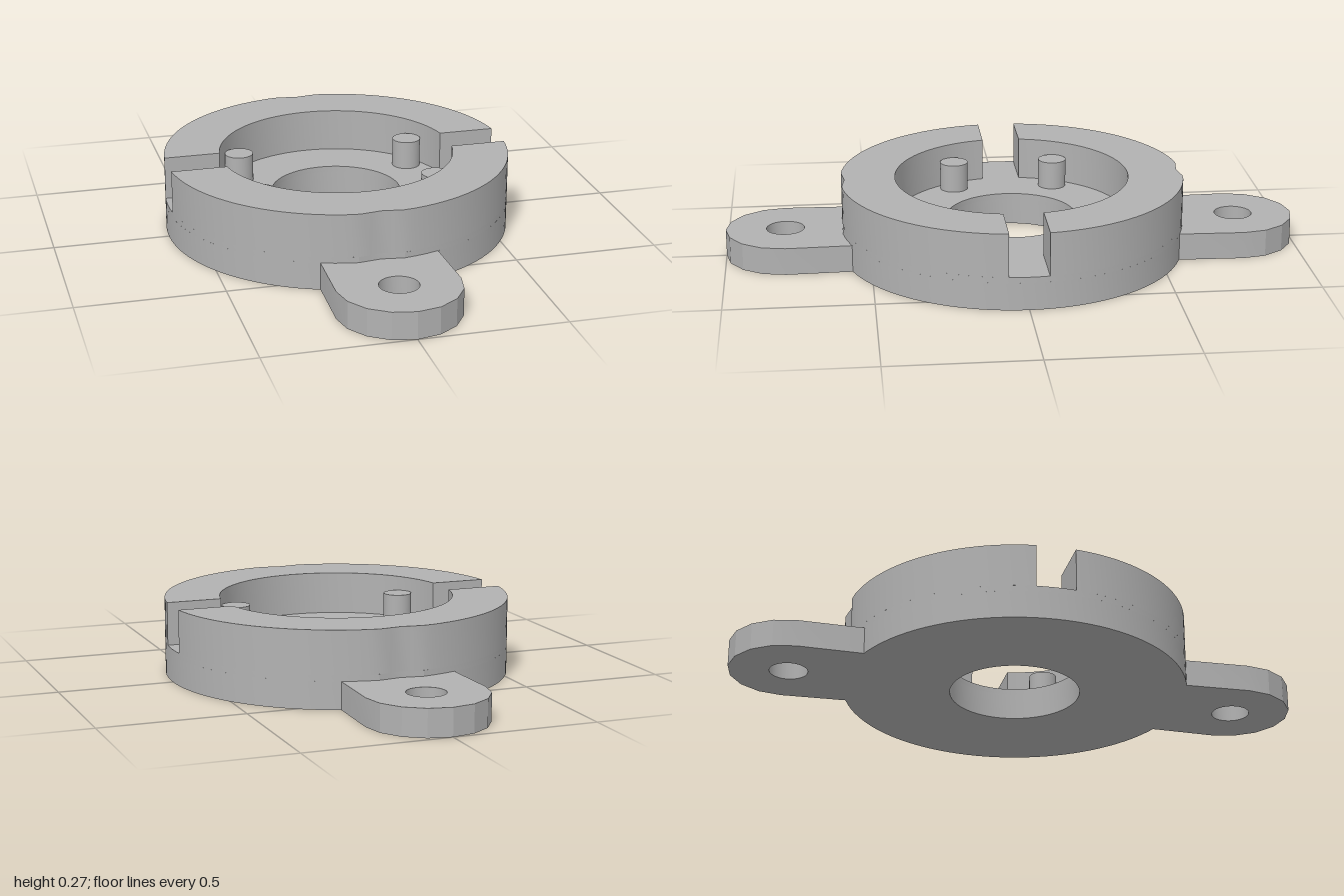
import * as THREE from 'three';
import { toCreasedNormals } from 'three/addons/utils/BufferGeometryUtils.js';

const R = 0.6, RECESS = 0.408, BORE = 0.227;       // radii
const EAR_TOP = 0.095, FLOOR = 0.115, TOP = 0.265; // levels
const EAR_Z = 0.793, EAR_R = 0.207, SLOT = 0.067;

// Points along an arc from angle a to angle b
function arc(r, a, b, n, cx = 0, cy = 0) {
  const pts = [];
  for (let i = 0; i <= n; i++) {
    const t = a + (b - a) * i / n;
    pts.push(new THREE.Vector2(cx + r * Math.cos(t), cy + r * Math.sin(t)));
  }
  return pts;
}

// Shallow screw-head clearance cut into the rim beside each ear
function notch(pts) {
  for (const p of pts) {
    const limit = 0.584 + 0.14 * Math.abs(p.x);
    if (Math.abs(p.y) > limit) p.y = Math.sign(p.y) * limit;
  }
  return pts;
}

function hole(shape, r, y = 0, n = 64) {
  shape.holes.push(new THREE.Path(arc(r, 0, Math.PI * 2, n, 0, y).slice(0, -1)));
}

// Extrude a plan outline upward between two levels
function slab(shape, y0, y1) {
  const g = new THREE.ExtrudeGeometry(shape, { depth: y1 - y0, bevelEnabled: false });
  g.rotateX(-Math.PI / 2);
  g.translate(0, y0, 0);
  return toCreasedNormals(g, 0.3);
}

export function createModel() {
  const group = new THREE.Group();
  const grey = new THREE.MeshStandardMaterial({ color: 0xb2b2b2 });
  grey.name = 'grey';
  const add = (name, geometry) => {
    const mesh = new THREE.Mesh(geometry, grey);
    mesh.name = name;
    group.add(mesh);
    return mesh;
  };

  // Base plate: disc with two rounded mounting ears
  const corner = Math.acos(0.2 / R);
  const half = [
    ...arc(R, -corner, corner, 40),
    ...arc(EAR_R, 0, Math.PI, 8, 0, EAR_Z),
  ];
  const base = new THREE.Shape([...half, ...half.map(p => new THREE.Vector2(-p.x, -p.y))]);
  hole(base, BORE);
  hole(base, 0.066, EAR_Z, 32);
  hole(base, 0.066, -EAR_Z, 32);
  add('basePlate', slab(base, 0, EAR_TOP));

  // Recess floor, level with the slot bottoms
  const floor = new THREE.Shape(notch(arc(R, 0, Math.PI * 2, 96).slice(0, -1)));
  hole(floor, BORE);
  add('recessFloor', slab(floor, EAR_TOP, FLOOR));

  // Two raised half rings separated by the side slots
  const a = Math.asin(SLOT / R), b = Math.asin(SLOT / RECESS);
  const rim = slab(new THREE.Shape([
    ...notch(arc(R, a, Math.PI - a, 48)),
    ...arc(RECESS, Math.PI - b, b, 40),
  ]), FLOOR, TOP);
  add('backRim', rim);
  add('frontRim', rim).rotation.y = Math.PI;

  // Four locating pegs
  const peg = new THREE.CylinderGeometry(0.05, 0.05, 0.1, 32);
  for (const x of [-0.31, 0.31]) {
    for (const z of [-0.18, 0.18]) add('peg', peg).position.set(x, FLOOR + 0.05, z);
  }
  return group;
}
